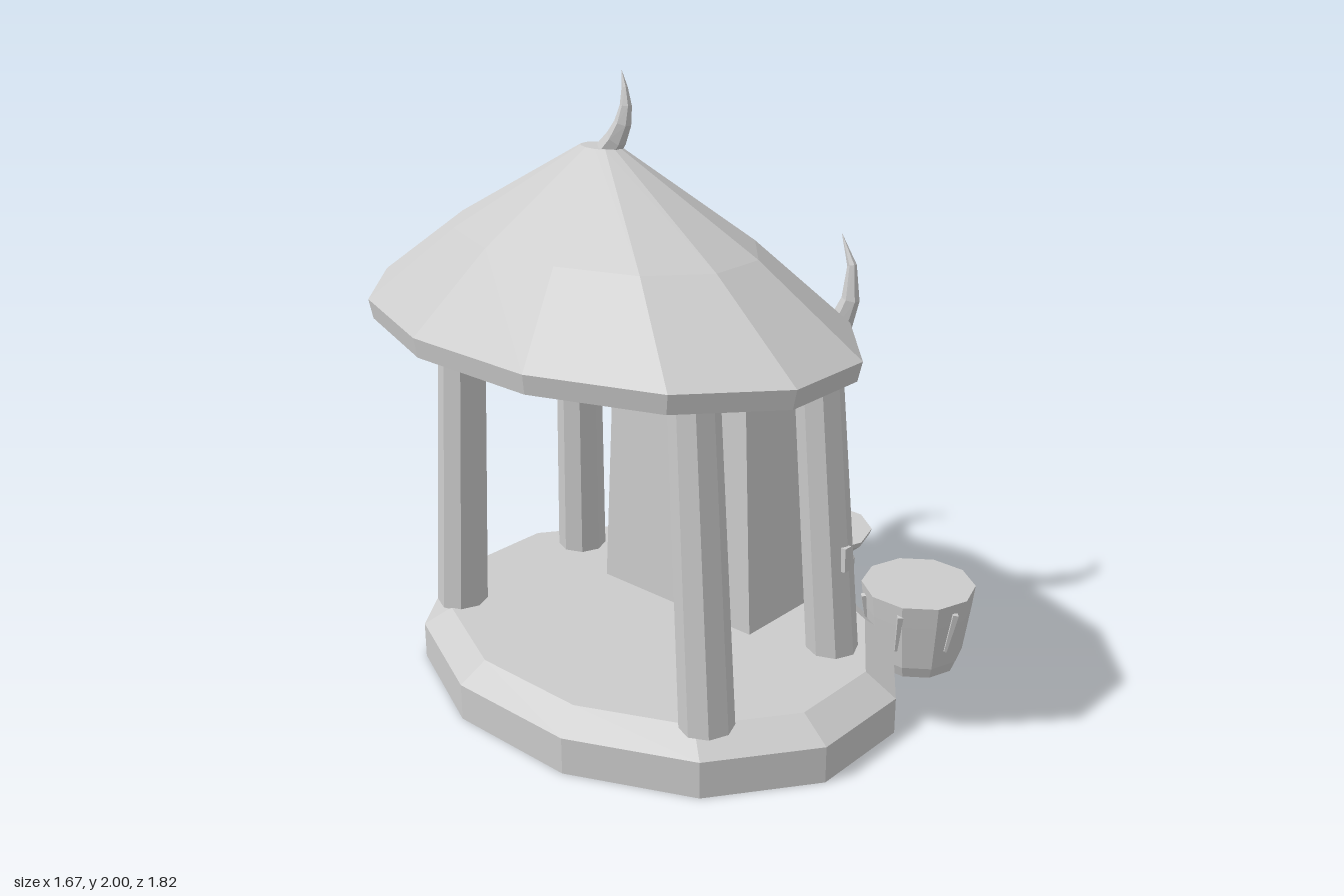
import * as THREE from 'three';

const stone = new THREE.MeshStandardMaterial({ color: 0xcccccc, flatShading: true, side: THREE.DoubleSide });
stone.name = 'pale grey stone';

export function createModel() {
  const model = new THREE.Group();
  model.name = 'shrine';

  const add = (name, geometry, x = 0, y = 0, z = 0, parent = model) => {
    const mesh = new THREE.Mesh(geometry, stone);
    mesh.name = name;
    mesh.position.set(x, y, z);
    parent.add(mesh);
    return mesh;
  };
  const lathe = (points, sides, phase) =>
    new THREE.LatheGeometry(points.map(p => new THREE.Vector2(...p)), sides, phase);

  // Tapered round bar between two points
  const bar = (name, a, b, ra, rb, sides) => {
    const from = new THREE.Vector3(...a), to = new THREE.Vector3(...b);
    const dir = to.clone().sub(from);
    const mesh = add(name, new THREE.CylinderGeometry(rb, ra, dir.length(), sides));
    mesh.position.copy(from).add(to).multiplyScalar(0.5);
    mesh.quaternion.setFromUnitVectors(new THREE.Vector3(0, 1, 0), dir.normalize());
    return mesh;
  };

  // Curved horn: a tube whose rings shrink to a point
  const horn = (name, points, radius) => {
    const curve = new THREE.CatmullRomCurve3(points.map(p => new THREE.Vector3(...p)));
    const rings = 5, sides = 6;
    const geometry = new THREE.TubeGeometry(curve, rings, radius, sides, false);
    const pos = geometry.attributes.position, v = new THREE.Vector3();
    for (let i = 0; i < pos.count; i++) {
      const t = Math.floor(i / (sides + 1)) / rings;
      const centre = curve.getPointAt(t);
      v.fromBufferAttribute(pos, i).sub(centre).multiplyScalar(1 - Math.pow(t, 1.3)).add(centre);
      pos.setXYZ(i, v.x, v.y, v.z);
    }
    return add(name, geometry);
  };

  // Oval twelve-sided platform with a bevelled edge, hollow beneath
  add('platform', lathe([[0.862, 0], [0.862, 0.12], [0.758, 0.185], [0, 0.185]], 12, Math.PI / 12),
    0, 0, 0.152).scale.z = 0.789;

  // Oval conical roof with an upright rim, hollow beneath
  add('roof', lathe([[0.852, 1.225], [0.867, 1.285], [0.533, 1.52], [0.07, 1.78], [0, 1.78]], 12, Math.PI / 12),
    0, 0, 0.373).scale.z = 0.641;

  horn('roofFinial', [[0.025, 1.77, 0.37], [0.07, 1.83, 0.365], [0.085, 1.91, 0.355], [0.06, 2, 0.345]], 0.036);

  // Four leaning pillars, the back pair with a small peg on the outer side
  for (const [side, z, topZ] of [[1, 0.545, 0.54], [-1, 0.505, 0.495], [1, -0.06, -0.01], [-1, -0.06, -0.01]]) {
    bar('pillar', [side * 0.56, 0.18, z], [side * 0.5, 1.25, topZ], 0.083, 0.073, 8);
    if (z < 0) add('pillarPeg', new THREE.BoxGeometry(0.03, 0.08, 0.03), side * 0.612, 0.52, -0.035);
  }

  // Tapered pedestal block
  const block = new THREE.BoxGeometry(0.64, 0.82, 0.39);
  const bp = block.attributes.position;
  for (let i = 0; i < bp.count; i++) {
    if (bp.getY(i) > 0) bp.setXYZ(i, bp.getX(i) * 0.88, bp.getY(i), bp.getZ(i) * 0.94);
  }
  add('pedestal', block, 0, 0.59, -0.135);

  // Horned mask: a pointed outline raised towards a central ridge
  const half = [[0, 1.115], [0.23, 1.05], [0.28, 0.95], [0.265, 0.8], [0.18, 0.58], [0, 0.42]];
  const outline = [...half, ...half.slice(1, -1).reverse().map(([x, y]) => [-x, y])];
  const ridge = [[0, 1, -0.395], [0, 0.86, -0.5], [0, 0.75, -0.47]];
  const nearRidge = [0, 0, 1, 1, 2, 2, 2, 1, 1, 0];
  const corners = [];
  const tri = (...points) => corners.push(...points.flat());
  outline.forEach((p, i) => {
    const j = (i + 1) % outline.length, q = outline[j];
    const a = [...p, -0.37], b = [...q, -0.37], c = [...p, -0.32], d = [...q, -0.32];
    const r = ridge[nearRidge[i]], s = ridge[nearRidge[j]];
    tri(a, b, r);
    if (r !== s) tri(b, s, r);
    tri(a, c, d);
    tri(a, d, b);
    tri(c, [0, 0.8, -0.32], d);
  });
  const mask = new THREE.BufferGeometry();
  mask.setAttribute('position', new THREE.Float32BufferAttribute(corners, 3));
  mask.computeVertexNormals();
  add('mask', mask);

  // Nose, brows, eyes, ears and horns of the mask
  const nose = add('nose', new THREE.CylinderGeometry(0.075, 0.042, 0.19, 3), 0, 0.765, -0.497);
  nose.rotation.set(0.18, Math.PI, 0);
  for (const side of [1, -1]) {
    bar('brow', [side * 0.03, 0.865, -0.475], [side * 0.235, 0.9, -0.405], 0.022, 0.012, 4);
    add('eye', new THREE.BoxGeometry(0.075, 0.04, 0.045), side * 0.135, 0.835, -0.468).rotation.z = side * 0.15;
    add('ear', new THREE.BoxGeometry(0.055, 0.13, 0.085), side * 0.265, 0.925, -0.325).rotation.x = 0.08;
    horn('horn', [[0.17, 1.01, -0.335], [0.25, 1.025, -0.335], [0.33, 1.11, -0.34], [0.375, 1.24, -0.355],
      [0.365, 1.34, -0.365], [0.315, 1.43, -0.375]].map(([x, y, z]) => [side * x, y, z]), 0.06);
  }

  // Drum with slanting pegs around its wall
  add('drum', lathe([[0.14, 0], [0.155, 0.04], [0.178, 0.2], [0.187, 0.275], [0, 0.275]], 10, Math.PI / 2),
    0.62, 0, -0.45);
  for (let i = 0; i < 6; i++) {
    const a = i * Math.PI / 3 + 0.25;
    const at = (r, y, turn) => [0.62 + r * Math.cos(a + turn), y, -0.45 + r * Math.sin(a + turn)];
    bar('drumPeg', at(0.16, 0.1, 0.1), at(0.18, 0.24, 0), 0.006, 0.013, 4);
  }

  // Offering dish on a round foot, holding three small spikes
  add('dish', lathe([[0.14, 0], [0.145, 0.07], [0.115, 0.1], [0.195, 0.17], [0.202, 0.19], [0, 0.185]],
    10, Math.PI / 2), 0, 0, -0.715);
  for (const [x, z, h] of [[-0.05, -0.745, 0.105], [0.05, -0.745, 0.1], [0, -0.66, 0.07]]) {
    add('dishSpike', new THREE.ConeGeometry(0.022, h, 4), x, 0.183 + h / 2, z);
  }

  return model;
}
